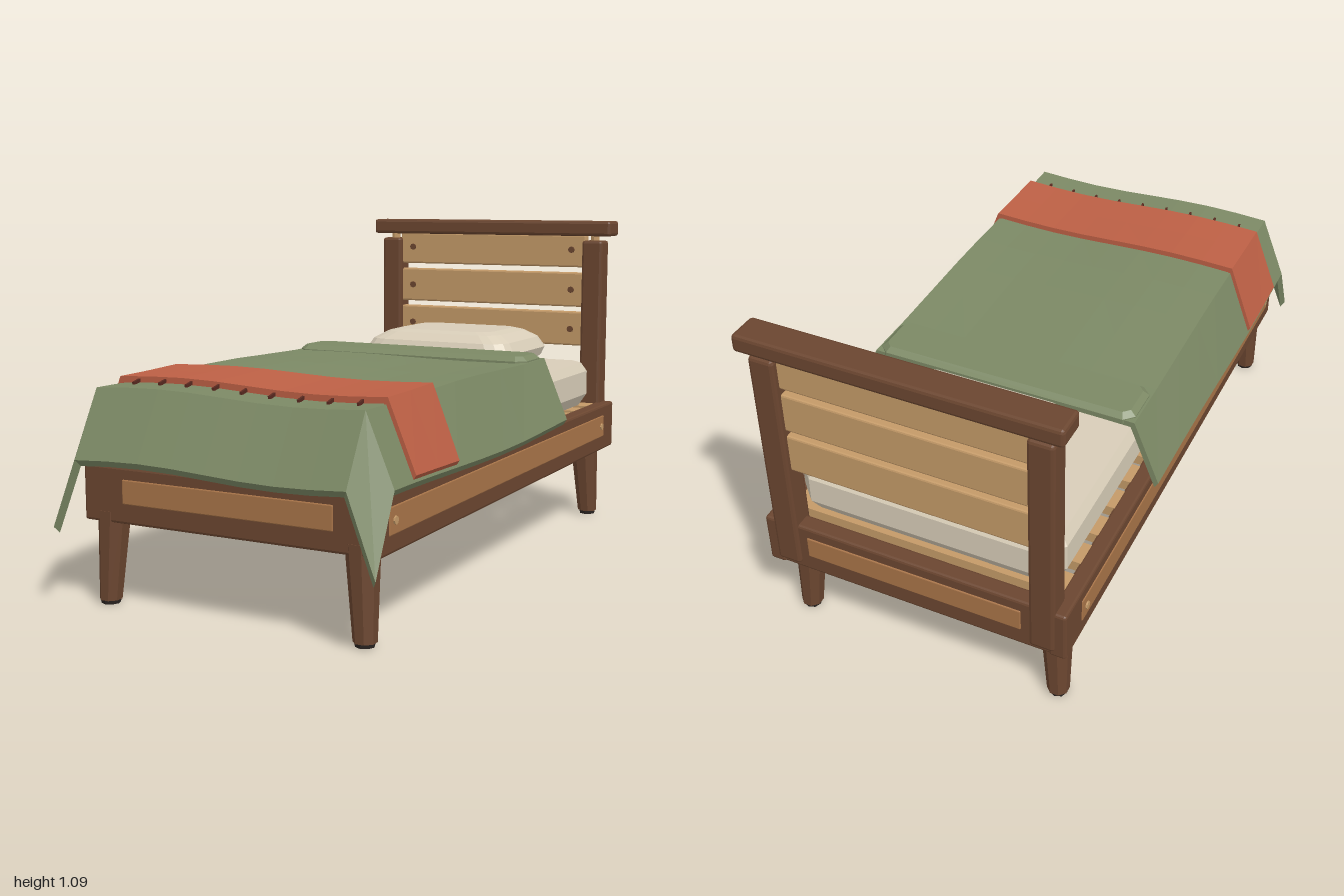
import * as THREE from 'three';
import { RoundedBoxGeometry } from 'three/addons/geometries/RoundedBoxGeometry.js';

const paint = (color) => new THREE.MeshStandardMaterial({ color, flatShading: true });
const mats = {
  dark: paint(0x6b4630), panel: paint(0xa87448), plank: paint(0xc49a68), foot: paint(0x2b2522),
  cream: paint(0xd8cdb8), green: paint(0x7c8965), red: paint(0xbd6045), thread: paint(0x5a2a20),
};

export function createModel() {
  const bed = new THREE.Group();
  bed.name = 'bed';

  const add = (name, geometry, mat, x = 0, y = 0, z = 0) => {
    const mesh = new THREE.Mesh(geometry, mats[mat]);
    mesh.name = name;
    mesh.position.set(x, y, z);
    bed.add(mesh);
    return mesh;
  };
  // Bevelled box given by its extents
  const block = (name, mat, [x0, x1], [y0, y1], [z0, z1], bevel = 0.008) =>
    add(name, new RoundedBoxGeometry(x1 - x0, y1 - y0, z1 - z0, 1, bevel), mat,
      (x0 + x1) / 2, (y0 + y1) / 2, (z0 + z1) / 2);

  // ---- Frame rails with inlaid panels
  for (const s of [-1, 1]) {
    const side = s > 0 ? 'left' : 'right';
    const span = (a, b) => (s > 0 ? [a, b] : [-b, -a]);
    block(side + 'Rail', 'dark', span(0.435, 0.488), [0.25, 0.418], [-0.98, 0.9]);
    block(side + 'RailPanel', 'panel', span(0.47, 0.491), [0.302, 0.38], [-0.87, 0.85], 0.003);
    for (const z of [-0.84, 0.82]) {
      const plug = add(side + 'RailPlug', new THREE.CylinderGeometry(0.012, 0.012, 0.01, 8), 'plank', s * 0.491, 0.341, z);
      plug.rotation.z = Math.PI / 2;
    }
    // Headboard post and the peg under the cap
    block(side + 'Post', 'dark', span(0.376, 0.455), [0.27, 1.02], [-0.986, -0.908], 0.01);
    add(side + 'PostPeg', new THREE.CylinderGeometry(0.016, 0.016, 0.04, 8), 'plank', s * 0.415, 1.025, -0.947);
  }
  block('frontRail', 'dark', [-0.485, 0.485], [0.25, 0.418], [0.845, 0.9]);
  block('frontRailPanel', 'panel', [-0.348, 0.348], [0.31, 0.382], [0.88, 0.904], 0.003);
  block('backRail', 'dark', [-0.46, 0.46], [0.25, 0.418], [-0.975, -0.92]);
  block('backRailPanel', 'panel', [-0.348, 0.348], [0.31, 0.382], [-0.979, -0.95], 0.003);

  // ---- Headboard
  block('headboardCap', 'dark', [-0.488, 0.488], [1.037, 1.092], [-1, -0.9], 0.01);
  [[0.92, 1.04], [0.772, 0.9], [0.626, 0.753]].forEach(([y0, y1], i) => {
    block('headboardPlank', 'plank', [-0.385, 0.385], [y0, y1], [-0.965, -0.93], 0.006);
    for (const x of [-0.33, 0.33]) {
      const peg = add('plankPeg', new THREE.CylinderGeometry(0.012, 0.012, 0.01, 8), 'dark', x, [0.985, 0.836, 0.688][i], -0.928);
      peg.rotation.x = Math.PI / 2;
    }
  });

  // ---- Tapered, slightly splayed legs
  for (const sx of [-1, 1]) for (const [zTop, zFoot] of [[0.856, 0.868], [-0.874, -0.89]]) {
    const leg = new THREE.CylinderGeometry(0.05, 0.034, 0.27, 8).rotateY(Math.PI / 8);
    const p = leg.attributes.position;
    for (let i = 0; i < p.count; i++) {
      const t = 0.5 - p.getY(i) / 0.27;
      p.setX(i, p.getX(i) + sx * (0.413 + 0.013 * t));
      p.setZ(i, p.getZ(i) + zTop + (zFoot - zTop) * t);
    }
    add('leg', leg, 'dark', 0, 0.147, 0);
    add('footPad', new THREE.CylinderGeometry(0.031, 0.028, 0.014, 8), 'foot', sx * 0.426, 0.007, zFoot);
  }

  // ---- Slats
  for (let i = 0; i < 14; i++)
    add('slat', new THREE.BoxGeometry(0.88, 0.034, 0.082), 'plank', 0, 0.4, -0.855 + i * 0.126);

  // ---- Mattress, pillow and folded cover edge: stacked rounded rectangles [y, halfX, halfZ, corner]
  add('mattress', loft([[0.418, 0.405, 0.855, 0.05], [0.46, 0.43, 0.88, 0.06], [0.545, 0.43, 0.88, 0.06],
    [0.576, 0.41, 0.86, 0.05]], 1), 'cream', 0, 0, -0.022);
  add('pillow', loft([[0.57, 0.22, 0.165, 0.06], [0.605, 0.275, 0.208, 0.07], [0.635, 0.287, 0.218, 0.075],
    [0.672, 0.264, 0.2, 0.07], [0.697, 0.22, 0.165, 0.06], [0.706, 0.185, 0.135, 0.05]], 3), 'cream', 0, 0, -0.625);
  add('foldedCoverEdge', loft([[0.615, 0.41, 0.07, 0.02], [0.63, 0.433, 0.087, 0.03], [0.645, 0.433, 0.087, 0.03],
    [0.66, 0.415, 0.07, 0.02]], 1), 'green', 0, 0, -0.297);

  // ---- Blanket draped over both sides and the foot end
  const xs = [-0.525, -0.44, -0.33, -0.22, -0.11, 0, 0.11, 0.22, 0.33, 0.44, 0.525];
  const wave = (x, z) => 0.645 - 0.01 * Math.sin(7 * x) * (0.45 + 0.55 * z) + 0.005 * Math.sin(6 * z);
  const drape = (x, z) => {
    let y = wave(THREE.MathUtils.clamp(x, -0.44, 0.44), Math.min(z, 0.89));
    if (Math.abs(x) > 0.5) y -= 0.215 + 0.012 * Math.sin(5 * z + x);
    if (z > 0.95) y -= 0.195 + (x > 0.5 ? 0.02 : 0);
    return y;
  };
  add('blanket', sheet(xs, [-0.38, -0.2, 0, 0.17, 0.34, 0.5, 0.64, 0.775, 0.89, 0.995], drape, 0.018), 'green');

  // ---- Throw across the foot, with stitched tassels
  const throwXs = xs.map((x) => x + Math.sign(x) * 0.005);
  add('throw', sheet(throwXs, [0.5, 0.64, 0.775], (x, z) => drape(x, z) + 0.02, 0.018), 'red');
  for (let i = 0; i < 9; i++) {
    const x = -0.372 + i * 0.093;
    const tassel = add('throwTassel', new THREE.BoxGeometry(0.007, 0.01, 0.04), 'thread', x, drape(x, 0.79) + 0.006, 0.792);
    tassel.rotation.set(0.15, 0.15, 0);
  }
  return bed;
}

function indexed(points, index) {
  const g = new THREE.BufferGeometry();
  g.setAttribute('position', new THREE.Float32BufferAttribute(points, 3));
  g.setIndex(index);
  g.computeVertexNormals();
  return g;
}

// Closed solid from rounded rectangles, bottom to top
function loft(rings, steps) {
  const points = [], index = [], n = 4 * (steps + 1);
  for (const [y, hx, hz, r] of rings)
    for (let q = 0; q < 4; q++) for (let s = 0; s <= steps; s++) {
      const a = (q + s / steps) * Math.PI / 2;
      const sx = q === 0 || q === 3 ? 1 : -1, sz = q < 2 ? 1 : -1;
      points.push(sx * (hx - r) + r * Math.cos(a), y, sz * (hz - r) + r * Math.sin(a));
    }
  for (let k = 0; k < rings.length - 1; k++) for (let i = 0; i < n; i++) {
    const j = (i + 1) % n, a = k * n + i, d = k * n + j;
    index.push(a, a + n, d + n, a, d + n, d);
  }
  const top = (rings.length - 1) * n;
  for (let i = 1; i < n - 1; i++) index.push(0, i, i + 1, top, top + i + 1, top + i);
  return indexed(points, index);
}

// Thick cloth over a grid of x and z stations
function sheet(xs, zs, height, thick) {
  const points = [], index = [], nx = xs.length, nz = zs.length, under = nx * nz;
  for (const layer of [0, 1]) for (const x of xs) for (const z of zs) {
    const inX = Math.abs(x) > 0.4 ? Math.sign(x) * 0.012 : 0, inZ = z > 0.85 ? 0.012 : 0;
    points.push(x - layer * inX, height(x, z) - layer * thick, z - layer * inZ);
  }
  const id = (i, j) => i * nz + j;
  const quad = (a, b, c, d) => index.push(a, b, c, a, c, d);
  for (let i = 0; i < nx - 1; i++) for (let j = 0; j < nz - 1; j++) {
    const a = id(i, j), b = id(i, j + 1), c = id(i + 1, j + 1), d = id(i + 1, j);
    quad(a, b, c, d);
    quad(a + under, d + under, c + under, b + under);
  }
  // Rim between the two layers
  const rim = (a, b) => quad(a, a + under, b + under, b);
  for (let j = 0; j < nz - 1; j++) {
    rim(id(0, j), id(0, j + 1));
    rim(id(nx - 1, j + 1), id(nx - 1, j));
  }
  for (let i = 0; i < nx - 1; i++) {
    rim(id(i + 1, 0), id(i, 0));
    rim(id(i, nz - 1), id(i + 1, nz - 1));
  }
  return indexed(points, index);
}
